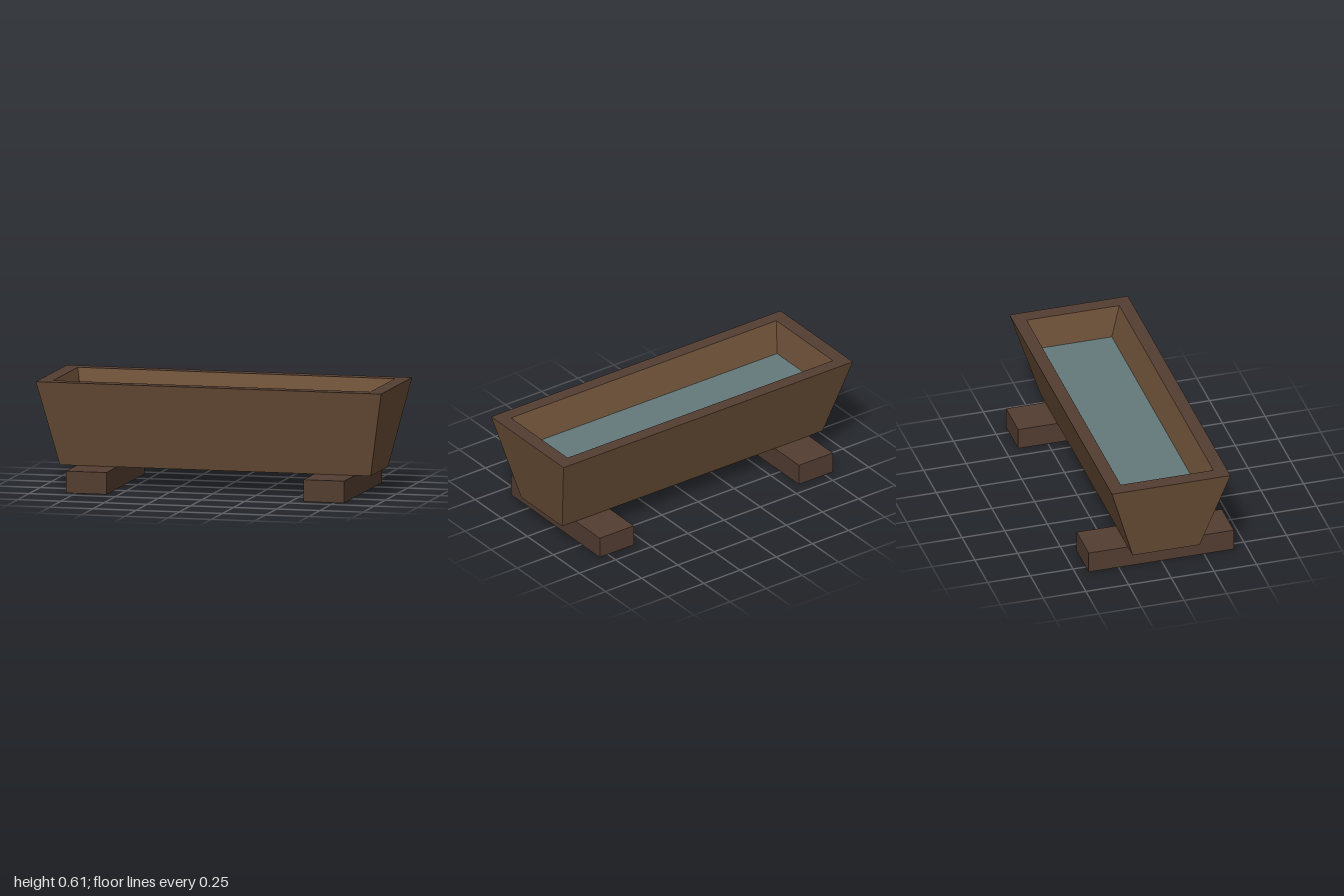
import * as THREE from 'three';

const material = (name, color) => {
  const m = new THREE.MeshStandardMaterial({ color });
  m.name = name;
  return m;
};

// Four flat quads joining two rectangles given as [halfX, y, halfZ].
// Faces point outward when running from the lower rectangle to the upper one.
function band([ax, ay, az], [bx, by, bz]) {
  const signs = [[1, 1], [1, -1], [-1, -1], [-1, 1]];
  const positions = [];
  for (let i = 0; i < 4; i++) {
    const [sx, sz] = signs[i];
    const [tx, tz] = signs[(i + 1) % 4];
    const a = [sx * ax, ay, sz * az], b = [tx * ax, ay, tz * az];
    const c = [tx * bx, by, tz * bz], d = [sx * bx, by, sz * bz];
    positions.push(...a, ...b, ...c, ...a, ...c, ...d);
  }
  const g = new THREE.BufferGeometry();
  g.setAttribute('position', new THREE.Float32BufferAttribute(positions, 3));
  g.computeVertexNormals();
  return g;
}

export function createModel() {
  const group = new THREE.Group();
  group.name = 'waterTrough';
  const wood = material('wood', 0x6e5139);
  const darkWood = material('darkWood', 0x533d31);
  const water = material('water', 0x647a7c);

  const add = (name, geometry, mat) => {
    const mesh = new THREE.Mesh(geometry, mat);
    mesh.name = name;
    group.add(mesh);
    return mesh;
  };

  // Key outlines of the flared trough
  const base = [0.9, 0.125, 0.196];
  const outerTop = [1, 0.613, 0.347];
  const innerTop = [0.917, 0.613, 0.271];
  const waterLine = [0.882, 0.437, 0.217];

  add('outerWalls', band(base, outerTop), wood);
  add('rim', band(outerTop, innerTop), darkWood);
  add('innerWalls', band(innerTop, waterLine), wood);

  // Underside and water surface
  const flat = ([x, , z]) => new THREE.PlaneGeometry(2 * x, 2 * z);
  add('underside', flat(base).rotateX(Math.PI / 2), wood).position.y = base[1];
  add('waterSurface', flat(waterLine).rotateX(-Math.PI / 2), water).position.y = waterLine[1];

  // Cross beams carrying the trough
  for (const side of [-1, 1]) {
    const name = side > 0 ? 'leftFoot' : 'rightFoot';
    add(name, new THREE.BoxGeometry(0.235, 0.124, 0.85), darkWood).position.set(side * 0.688, 0.062, 0);
  }
  return group;
}
